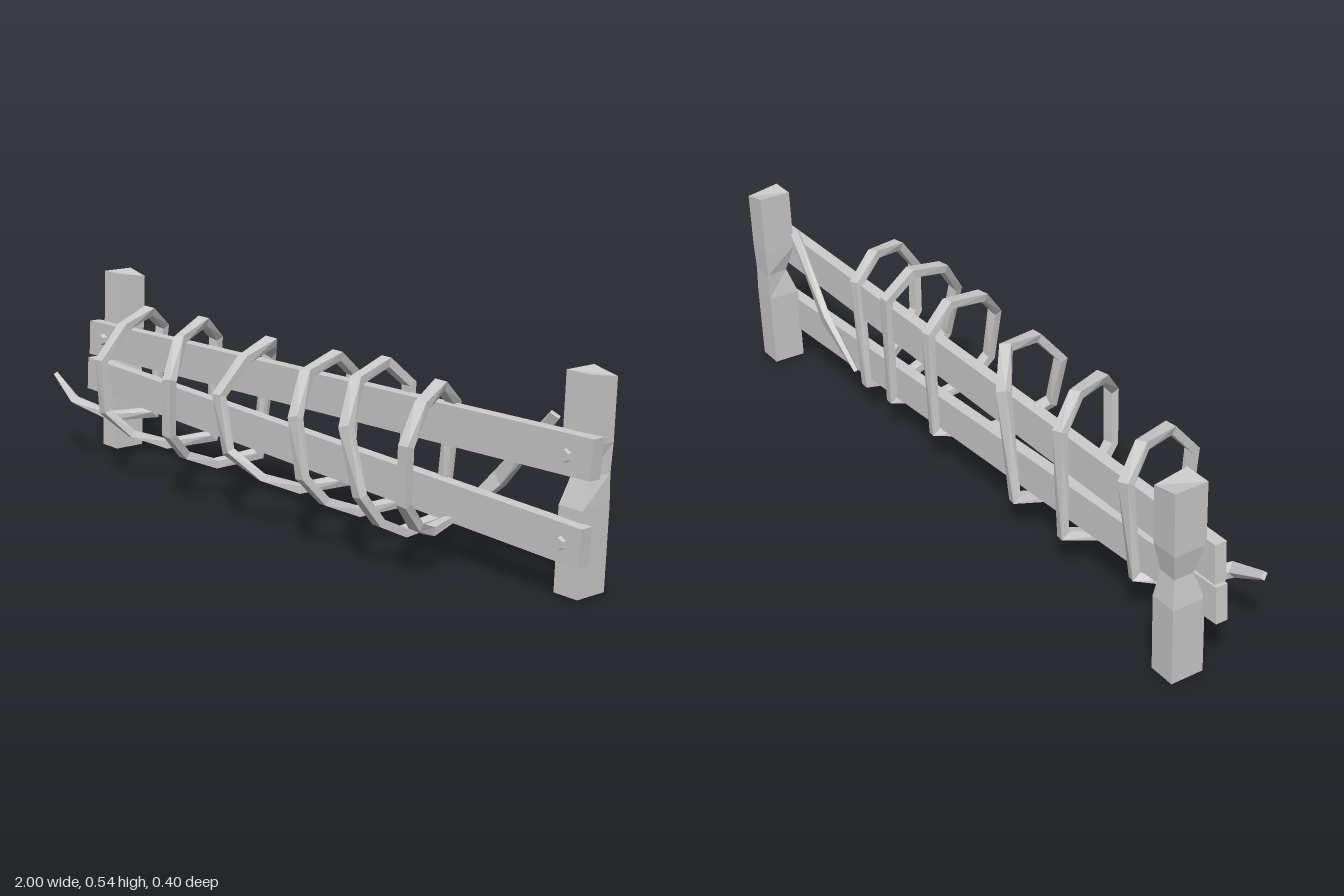
import * as THREE from 'three';

const material = new THREE.MeshStandardMaterial({ color: 0xcccccc, flatShading: true });

function addMesh(group, name, geometry) {
  const mesh = new THREE.Mesh(geometry, material);
  mesh.name = name;
  group.add(mesh);
  return mesh;
}

// Applies a rule to every vertex of a geometry
function reshape(geometry, rule) {
  const p = geometry.attributes.position;
  const v = new THREE.Vector3();
  for (let i = 0; i < p.count; i++) {
    rule(v.fromBufferAttribute(p, i));
    p.setXYZ(i, v.x, v.y, v.z);
  }
  geometry.computeVertexNormals();
  return geometry;
}

// Rough leaning post, hewn thinner at mid height, with one chipped top corner
function postGeometry({ x, bottom, top, zBottom, zTop, backPinch }) {
  const rows = [0, 0.04, 0.4, 0.54, 0.68, 0.96, 1];
  return reshape(new THREE.BoxGeometry(1, 1, 1, 1, 6, 1), (v) => {
    const row = Math.round((v.y + 0.5) * 6);
    const t = rows[row];
    const front = v.z > 0;
    let halfX = 0.037, halfZ = 0.046;
    if (row === 3) {
      halfX -= front ? 0.012 : backPinch;
      halfZ -= front ? 0.026 : backPinch;
    }
    const chip = row === 6 && !front && v.x > 0 ? 0.016 : 0;
    v.set(
      x + Math.sign(v.x) * halfX,
      bottom + (top - bottom) * t - chip,
      zBottom + (zTop - zBottom) * t + Math.sign(v.z) * halfZ,
    );
  });
}

// Plank between two ends, each [x, low y, high y, back z, front z]
function plankGeometry(left, right) {
  return reshape(new THREE.BoxGeometry(1, 1, 1), (v) => {
    const e = v.x < 0 ? left : right;
    v.set(e[0] + (v.y > 0 ? 0.006 : -0.002), v.y < 0 ? e[1] : e[2], v.z < 0 ? e[3] : e[4]);
  });
}

// Flat strip swept along a path, facing outward from the coil axis
function stripGeometry(points, width, thickness) {
  const pos = [], index = [];
  const n = points.length;
  points.forEach((p, i) => {
    const a = p.clone().sub(points[Math.max(i - 1, 0)]).normalize();
    const b = points[Math.min(i + 1, n - 1)].clone().sub(p).normalize();
    const t = a.clone().add(b).normalize();
    const miter = 1 / Math.max(0.75, Math.max(t.dot(a), t.dot(b)));
    const out = new THREE.Vector3(0, p.y - 0.28, p.z - 0.04);
    out.addScaledVector(t, -out.dot(t)).normalize();
    const side = out.clone().cross(t);
    const taper = i === 0 || i === n - 1 ? 0.6 : 1;
    for (const [s, o] of [[-1, -1], [1, -1], [1, 1], [-1, 1]]) {
      const q = p.clone()
        .addScaledVector(side, s * width * taper / 2)
        .addScaledVector(out, o * thickness * miter * taper / 2);
      pos.push(q.x, q.y, q.z);
    }
  });
  for (let i = 0; i < n - 1; i++) {
    for (let k = 0; k < 4; k++) {
      const a = i * 4 + k, b = i * 4 + (k + 1) % 4;
      index.push(a, b, a + 4, b, b + 4, a + 4);
    }
  }
  const e = (n - 1) * 4;
  index.push(0, 2, 1, 0, 3, 2, e, e + 1, e + 2, e, e + 2, e + 3);
  const g = new THREE.BufferGeometry();
  g.setAttribute('position', new THREE.Float32BufferAttribute(pos, 3));
  g.setIndex(index);
  const flat = g.toNonIndexed();
  flat.computeVertexNormals();
  return flat;
}

export function createModel() {
  const group = new THREE.Group();
  group.name = 'fence';

  // Posts
  addMesh(group, 'rightPost', postGeometry({
    x: -0.914, bottom: 0.004, top: 0.535, zBottom: -0.097, zTop: -0.118, backPinch: 0.012,
  }));
  addMesh(group, 'leftPost', postGeometry({
    x: 0.916, bottom: 0.012, top: 0.543, zBottom: -0.135, zTop: -0.153, backPinch: 0.002,
  }));

  // Planks
  addMesh(group, 'upperPlank', plankGeometry(
    [-0.99, 0.28, 0.383, -0.069, -0.036], [0.994, 0.308, 0.408, -0.107, -0.073]));
  addMesh(group, 'lowerPlank', plankGeometry(
    [-0.998, 0.173, 0.27, -0.064, -0.031], [0.974, 0.097, 0.194, -0.1, -0.066]));

  // Bolts
  const boltGeometry = new THREE.CylinderGeometry(0.016, 0.017, 0.03, 6).rotateX(Math.PI / 2);
  for (const [x, y, z] of [
    [-0.911, 0.337, -0.037], [0.92, 0.355, -0.076],
    [-0.911, 0.22, -0.032], [0.92, 0.148, -0.067],
  ]) {
    addMesh(group, 'bolt', boltGeometry).position.set(x, y, z);
  }

  // Coiled strip: each turn passes the same stations [y, z] at its own x positions,
  // scaled in height and in forward reach
  const stations = [
    [0.41, -0.1], [0.47, -0.025], [0.445, 0.1], [0.355, 0.18],
    [0.205, 0.174], [0.135, 0.11], [0.1, 0.025], [0.115, -0.095],
  ];
  const turns = [
    { x: [-0.7, -0.66, -0.605, -0.6, -0.595, -0.56, -0.51, -0.455], height: 0.96, reach: 1 },
    { x: [-0.44, -0.4, -0.33, -0.265, -0.28, -0.3, -0.28, -0.245], height: 1.01, reach: 1.04 },
    { x: [-0.2, -0.1, -0.055, -0.06, -0.03, 0.03, 0.08, 0.135], height: 0.96, reach: 0.98 },
    { x: [0.15, 0.17, 0.2, 0.255, 0.275, 0.285, 0.315, 0.355], height: 1, reach: 1 },
    { x: [0.36, 0.355, 0.38, 0.425, 0.47, 0.475, 0.48, 0.49], height: 1.08, reach: 0.9 },
    { x: [0.52, 0.55, 0.605, 0.625, 0.615, 0.6, 0.57, 0.55], height: 0.95, reach: 0.84 },
  ];
  const path = [
    new THREE.Vector3(-0.98, 0.235, 0.09),
    new THREE.Vector3(-0.865, 0.18, 0.1),
    new THREE.Vector3(-0.79, 0.135, 0.025),
    new THREE.Vector3(-0.715, 0.145, -0.075),
  ];
  for (const { x, height, reach } of turns) {
    stations.forEach(([y, z], i) => {
      path.push(new THREE.Vector3(x[i], 0.28 + (y - 0.28) * height, z > 0 ? z * reach : z));
    });
  }
  addMesh(group, 'coiledStrip', stripGeometry(path, 0.032, 0.021));

  // Loose end of the strip, running diagonally behind the planks
  addMesh(group, 'looseEnd', stripGeometry([
    new THREE.Vector3(0.54, 0.115, -0.1),
    new THREE.Vector3(0.66, 0.235, -0.125),
    new THREE.Vector3(0.845, 0.43, -0.112),
  ], 0.042, 0.018));

  return group;
}
